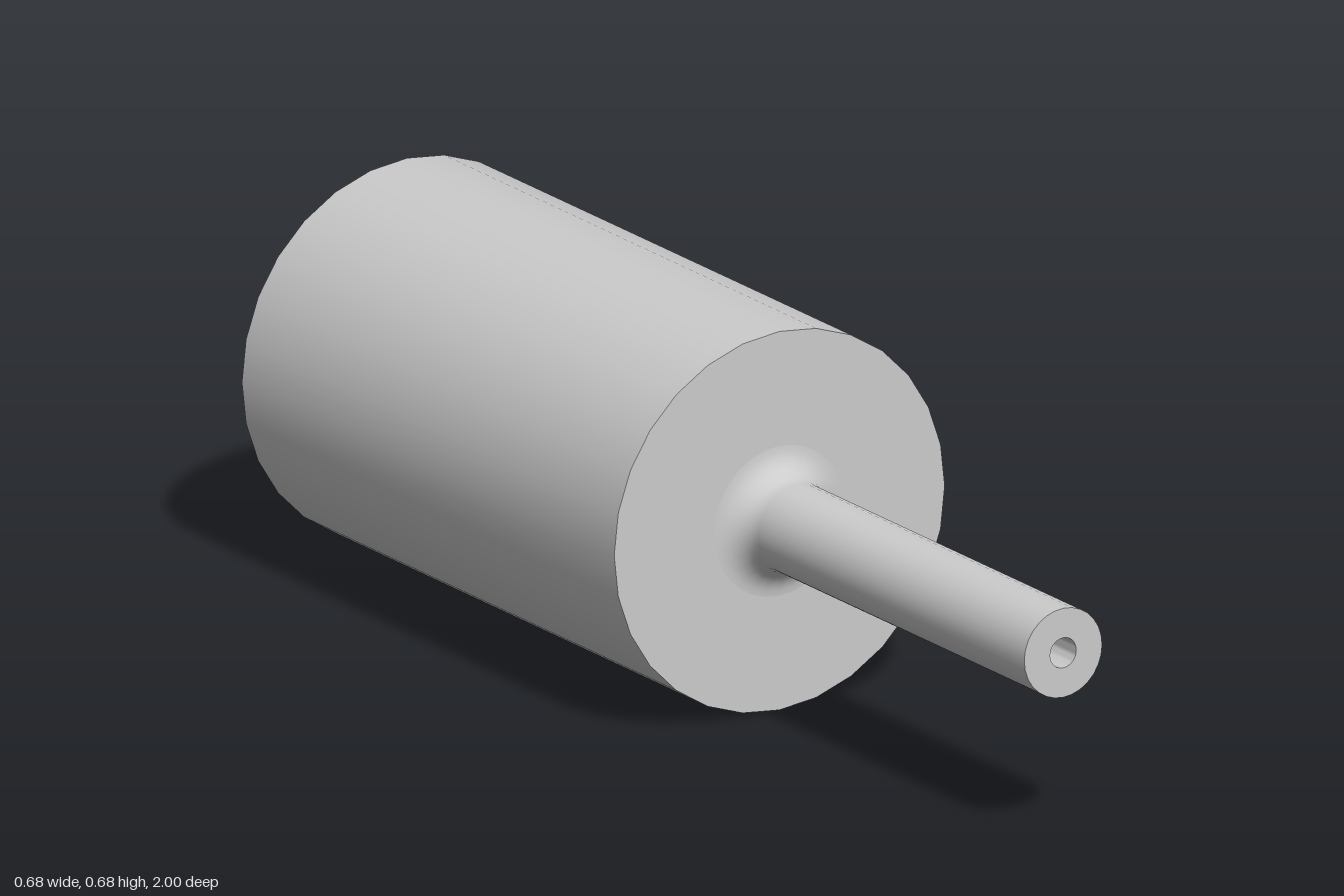
import * as THREE from 'three';
import { toCreasedNormals } from 'three/addons/utils/BufferGeometryUtils.js';

const SIDES = 28;
const AXIS_Y = 0.34;
const FACE_Z = 0.135; // front face of the cup

// Turn a [radius, z] profile around the z axis, keeping hard edges sharp
function turned(name, profile, material) {
  const points = profile.map(([r, z]) => new THREE.Vector2(r, z));
  const geometry = new THREE.LatheGeometry(points, SIDES).rotateX(Math.PI / 2);
  const mesh = new THREE.Mesh(toCreasedNormals(geometry, Math.PI / 6), material);
  mesh.name = name;
  mesh.position.y = AXIS_Y;
  return mesh;
}

export function createModel() {
  const group = new THREE.Group();
  group.name = 'cupWithShaft';
  const grey = new THREE.MeshStandardMaterial({ color: 0xcccccc });

  // Hollow cup, open at the back
  const shaftR = 0.08, filletR = 0.055;
  group.add(turned('cup', [
    [0, 0.08], [0.29, 0.08], [0.29, -1], [0.34, -1],
    [0.34, FACE_Z], [shaftR + filletR, FACE_Z],
  ], grey));

  // Shaft with a concave fillet at its root and a blind bore at its tip
  const fillet = [];
  for (let i = 0; i <= 8; i++) {
    const a = (i / 8) * Math.PI / 2;
    fillet.push([
      shaftR + filletR * (1 - Math.sin(a)),
      FACE_Z + filletR * (1 - Math.cos(a)),
    ]);
  }
  group.add(turned('shaft', [
    ...fillet, [shaftR, 1], [0.027, 1], [0.027, 0.7], [0, 0.7],
  ], grey));

  return group;
}
